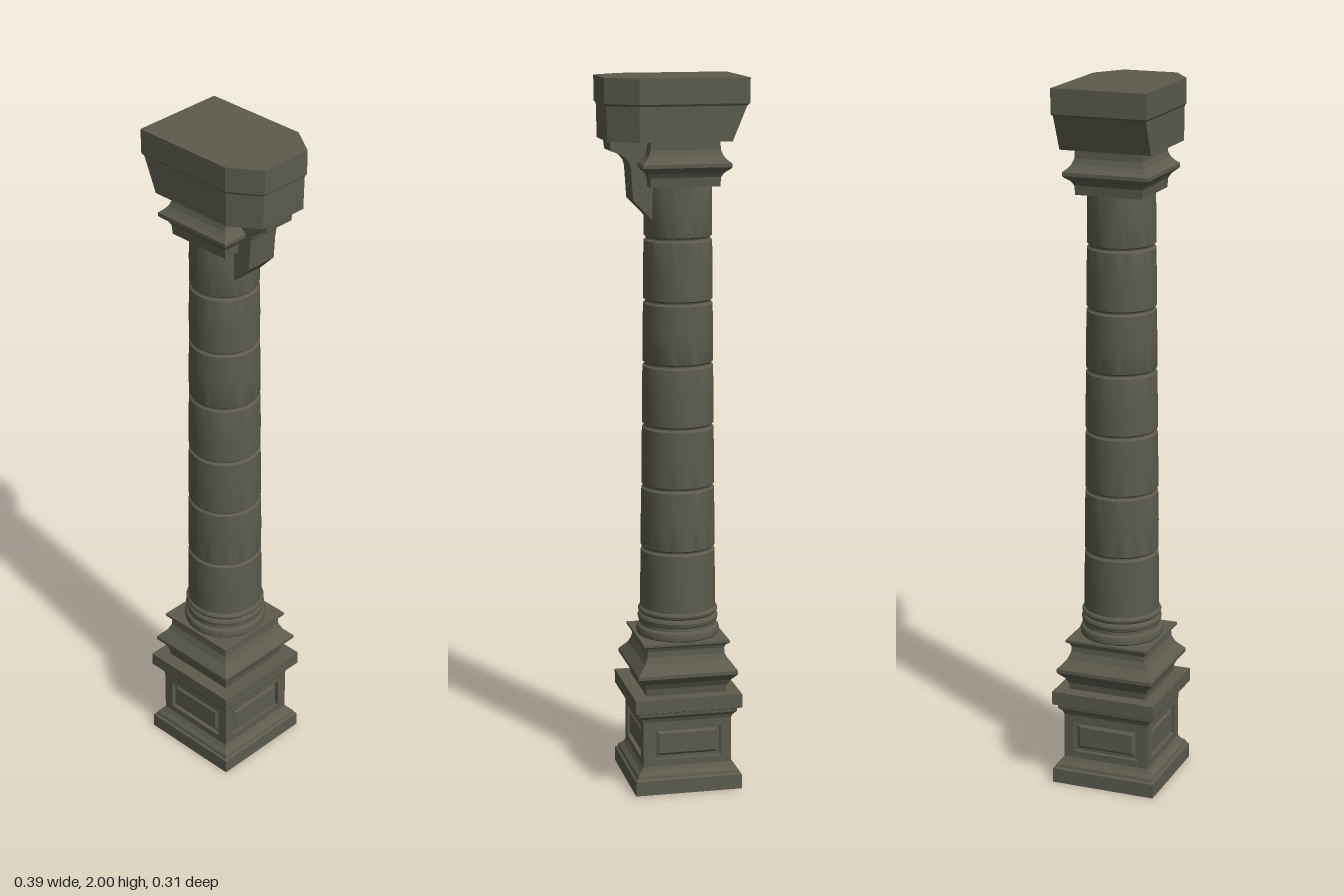
import * as THREE from 'three';
import { toCreasedNormals } from 'three/addons/utils/BufferGeometryUtils.js';

const AXIS = -0.026; // the column stands slightly off the centre of its top block

// Closed flat-shaded solid through horizontal rings: [y, [[x, z], ...]]
function loft(rings) {
  const pos = [], idx = [];
  const n = rings[0][1].length, last = (rings.length - 1) * n;
  for (const [y, pts] of rings) for (const [x, z] of pts) pos.push(x, y, z);
  for (let i = 0; i < last; i += n) {
    for (let j = 0; j < n; j++) {
      const a = i + j, b = i + (j + 1) % n;
      idx.push(a, b, b + n, a, b + n, a + n);
    }
  }
  for (let j = 1; j < n - 1; j++) {
    idx.push(0, j + 1, j);
    idx.push(last, last + j, last + j + 1);
  }
  const g = new THREE.BufferGeometry();
  g.setAttribute('position', new THREE.Float32BufferAttribute(pos, 3));
  g.setIndex(idx);
  const flat = g.toNonIndexed();
  flat.computeVertexNormals();
  return flat;
}

// Square moulding from [y, half width] pairs
const squareLoft = profile => loft(profile.map(([y, h]) => [y, [[h, h], [h, -h], [-h, -h], [-h, h]]]));

// Round part from [y, radius] pairs
function turned(profile) {
  const g = new THREE.LatheGeometry(profile.map(([y, r]) => new THREE.Vector2(r, y)), 40);
  return toCreasedNormals(g, 0.5);
}

// Plan of the top block: rectangle with two corners cut on the +x side
const plan = (xl, xr, z, xc, zc) => [[xr, zc], [xr, -zc], [xc, -z], [xl, -z], [xl, z], [xc, z]];

function rectangle(path, w, y0, y1) {
  path.moveTo(-w, y0);
  path.lineTo(w, y0);
  path.lineTo(w, y1);
  path.lineTo(-w, y1);
  path.closePath();
  return path;
}

export function createModel() {
  const model = new THREE.Group();
  const stone = new THREE.MeshStandardMaterial({ color: 0x5c5b4d });
  stone.name = 'dark stone';
  const column = new THREE.Group();
  column.name = 'column';
  column.position.x = AXIS;
  model.add(column);
  const add = (name, geometry, parent = column) => {
    const m = new THREE.Mesh(geometry, stone);
    m.name = name;
    parent.add(m);
    return m;
  };

  // Pedestal: plinth, panelled die and cornice
  add('plinth', squareLoft([[0, 0.153], [0.042, 0.153], [0.046, 0.147], [0.054, 0.145], [0.064, 0.134], [0.075, 0.127]]));
  const D = 0.012;
  add('pedestalCore', squareLoft([[0.07, 0.127 - D], [0.21, 0.127 - D]]));
  for (let i = 0; i < 4; i++) {
    const side = new THREE.Group();
    side.name = 'pedestalSide';
    side.rotation.y = i * Math.PI / 2;
    column.add(side);
    const shape = rectangle(new THREE.Shape(), i % 2 ? 0.127 - D : 0.127, 0.075, 0.206);
    shape.holes.push(rectangle(new THREE.Path(), 0.097, 0.095, 0.186));
    const frame = new THREE.ExtrudeGeometry(shape, { depth: D, bevelEnabled: false });
    add('panelFrame', frame.translate(0, 0, 0.127 - D), side);
    const panel = new THREE.ExtrudeGeometry(rectangle(new THREE.Shape(), 0.08, 0.112, 0.169), {
      depth: 0.002, bevelThickness: 0.006, bevelSize: 0.007, bevelSegments: 1,
    });
    add('raisedPanel', panel.translate(0, 0, 0.116), side);
  }
  add('pedestalCornice', squareLoft([
    [0.206, 0.127], [0.217, 0.131], [0.226, 0.14], [0.236, 0.141], [0.241, 0.153], [0.28, 0.153],
  ]));

  // Square waisted base below the shaft
  add('squareBase', squareLoft([
    [0.275, 0.114], [0.3, 0.117], [0.316, 0.125], [0.331, 0.139], [0.336, 0.143], [0.346, 0.143],
    [0.356, 0.134], [0.372, 0.12], [0.392, 0.111], [0.408, 0.11], [0.418, 0.114], [0.424, 0.123], [0.431, 0.123],
  ]));
  add('baseRings', turned([
    [0.428, 0.112], [0.434, 0.117], [0.446, 0.118], [0.454, 0.115], [0.459, 0.108], [0.468, 0.107], [0.472, 0.112],
    [0.482, 0.114], [0.489, 0.111], [0.492, 0.107], [0.496, 0.111], [0.503, 0.113], [0.509, 0.11], [0.512, 0.104],
  ]));

  // Tapering shaft of stacked drums with grooved joints
  const joints = [0.505, 0.683, 0.862, 1.035, 1.21, 1.385, 1.56, 1.72];
  const radius = y => 0.1065 - 0.0135 * (y - 0.5) / 1.2;
  for (let i = 0; i < joints.length - 1; i++) {
    const a = joints[i], b = joints[i + 1], r0 = radius(a), r1 = radius(b);
    add('shaftDrum', turned([
      [a, r0 - 0.006], [a + 0.003, r0 - 0.005], [a + 0.007, r0], [(a + b) / 2, (r0 + r1) / 2 + 0.0008],
      [b - 0.007, r1], [b - 0.003, r1 - 0.005], [b, r1 - 0.006],
    ]));
  }

  // Square capital moulding
  add('capital', squareLoft([
    [1.706, 0.096], [1.732, 0.098], [1.744, 0.105], [1.755, 0.119], [1.76, 0.123], [1.77, 0.123],
    [1.778, 0.113], [1.79, 0.103], [1.805, 0.097], [1.835, 0.096],
  ]));

  // Top block: sloped lower part and straight band
  add('topBlock', loft([
    [1.83, plan(-0.148, 0.185, 0.13, 0.107, 0.075)],
    [1.925, plan(-0.187, 0.187, 0.131, 0.108, 0.076)],
    [1.931, plan(-0.194, 0.193, 0.135, 0.109, 0.078)],
    [2, plan(-0.195, 0.193, 0.135, 0.109, 0.078)],
  ]));
  model.add(column.getObjectByName('topBlock')); // the block is centred on the model, not the shaft

  // Curved bracket under the overhang
  const s = new THREE.Shape();
  s.moveTo(0.03, 1.586);
  s.lineTo(0.109, 1.668);
  s.lineTo(0.115, 1.755);
  s.quadraticCurveTo(0.118, 1.79, 0.17, 1.802);
  s.lineTo(0.174, 1.835);
  s.lineTo(0.03, 1.835);
  s.closePath();
  const bracket = new THREE.ExtrudeGeometry(s, { depth: 0.094, bevelEnabled: false, curveSegments: 4 });
  add('bracket', bracket.translate(0, 0, -0.047), model);

  return model;
}
